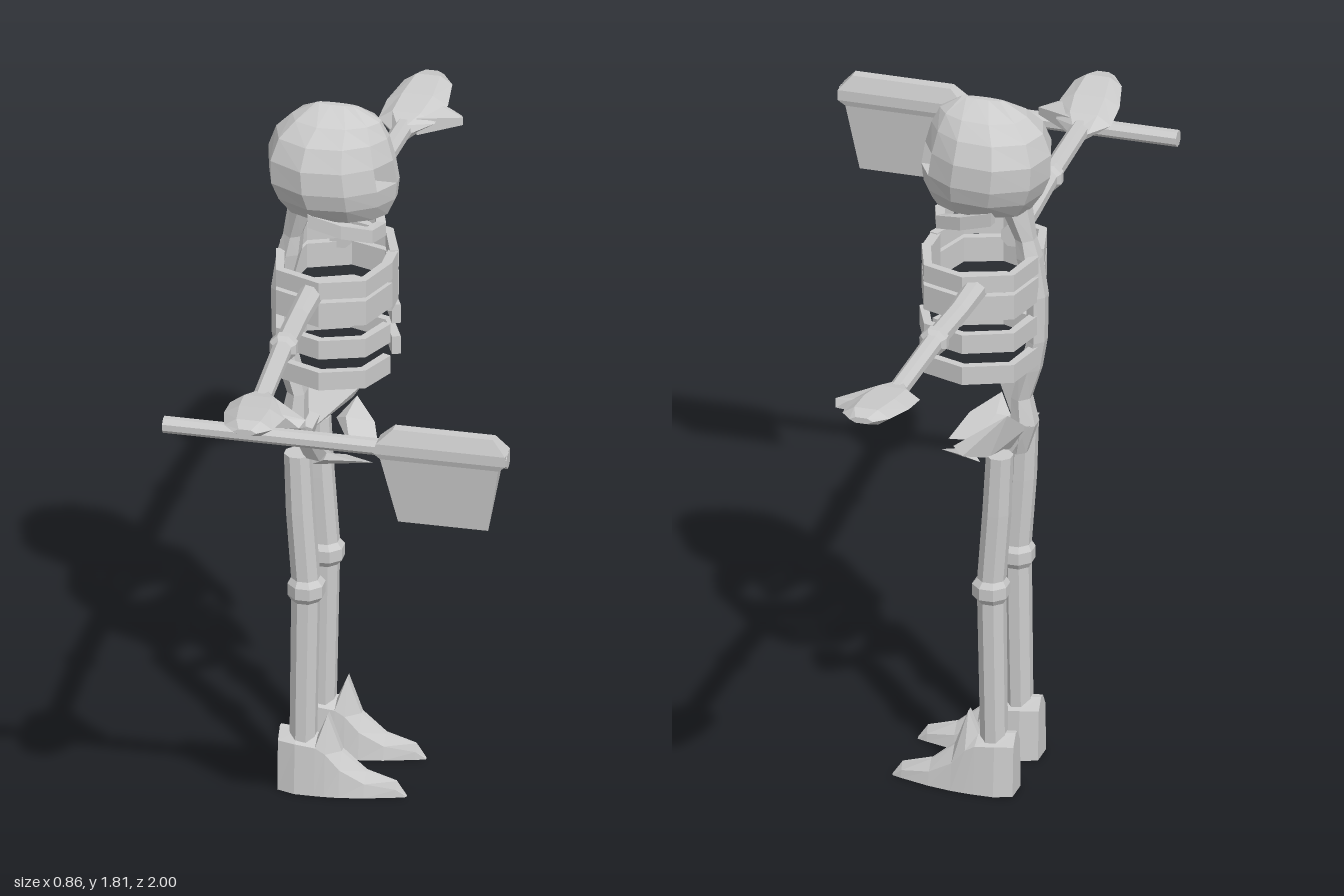
import * as THREE from 'three';
import { ConvexGeometry } from 'three/addons/geometries/ConvexGeometry.js';

const V = (x, y, z) => new THREE.Vector3(x, y, z);
const material = new THREE.MeshStandardMaterial({ color: 0xcccccc, flatShading: true });

// Faceted geometry from a triangle list, turned outward by its signed volume
function facets(tris) {
  const c = tris.reduce((sum, p) => sum.add(p), V(0, 0, 0)).divideScalar(tris.length);
  let volume = 0;
  for (let i = 0; i < tris.length; i += 3) {
    const [a, b, d] = [0, 1, 2].map(k => tris[i + k].clone().sub(c));
    volume += a.dot(b.cross(d));
  }
  const g = new THREE.BufferGeometry().setFromPoints(volume < 0 ? [...tris].reverse() : tris);
  g.computeVertexNormals();
  return g;
}

// Capped skin over rings of equal size; sockets(i, j) marks quads sunk inward by `sink`
function loft(rings, sockets = () => false, sink = null) {
  const tris = [], n = rings[0].length;
  const quad = (a, b, c, d) => tris.push(a, b, c, a, c, d);
  for (let i = 0; i < rings.length - 1; i++) {
    for (let j = 0; j < n; j++) {
      const k = (j + 1) % n;
      const q = [rings[i][j], rings[i][k], rings[i + 1][k], rings[i + 1][j]];
      if (!sockets(i, j)) { quad(...q); continue; }
      const inner = q.map(p => p.clone().add(sink));
      for (let e = 0; e < 4; e++) quad(q[e], q[(e + 1) % 4], inner[(e + 1) % 4], inner[e]);
      quad(...inner);
    }
  }
  const first = rings[0], last = rings[rings.length - 1];
  for (let j = 1; j < n - 1; j++) {
    tris.push(first[0], first[j + 1], first[j], last[0], last[j], last[j + 1]);
  }
  return facets(tris);
}

// Round bone through stations [x, y, z, radius], with rings across the given axis
function bone(stations, axis, sides = 8) {
  return loft(stations.map(([x, y, z, r]) => Array.from({ length: sides }, (_, i) => {
    const a = (i + 0.5) / sides * Math.PI * 2, u = Math.cos(a) * r, v = Math.sin(a) * r;
    return axis === 'y' ? V(x + u, y, z + v) : axis === 'z' ? V(x + u, y + v, z) : V(x, y + u, z + v);
  })));
}

// Flat upright strip following a path in plan
function band(path, height, thick) {
  return loft(path.map((p, i) => {
    const a = path[Math.max(0, i - 1)], b = path[Math.min(path.length - 1, i + 1)];
    const out = V(b[2] - a[2], 0, a[0] - b[0]).normalize().multiplyScalar(thick / 2);
    return [[1, 1], [1, -1], [-1, -1], [-1, 1]].map(([s, t]) =>
      V(p[0] + s * out.x, p[1] + t * height / 2, p[2] + s * out.z));
  }));
}

export function createModel() {
  const model = new THREE.Group();
  const add = (name, geometry, parent = model) => {
    const mesh = new THREE.Mesh(geometry, material);
    mesh.name = name;
    parent.add(mesh);
  };

  // Skull: rings of [y, back x, front x, half width], with sunken eye sockets
  const columns = [[0, 0.11], [0.11, 0.57], [0.33, 0.93], [0.65, 1], [0.92, 0.65]];
  const skullRings = [
    [1.53, -0.32, -0.07, 0.085], [1.575, -0.35, -0.05, 0.12], [1.62, -0.368, -0.045, 0.134],
    [1.68, -0.37, -0.055, 0.132], [1.735, -0.35, -0.07, 0.108], [1.775, -0.31, -0.09, 0.07],
    [1.81, -0.25, -0.145, 0.008],
  ].map(([y, back, front, w]) => {
    const side = s => columns.map(([t, z]) => V(front + (back - front) * t, y, s * z * w));
    return [...side(1), V(back, y, 0), ...side(-1).reverse()];
  });
  add('skull', loft(skullRings, (i, j) => i === 2 && (j === 0 || j === 9), V(-0.06, 0, 0)));

  // Jaw
  const jawSide = s => [[-0.25, 1.535, 0.09 * s], [-0.17, 1.508, 0.08 * s], [-0.105, 1.488, 0.05 * s]];
  add('jaw', band([...jawSide(1), [-0.088, 1.484, 0], ...jawSide(-1).reverse()], 0.035, 0.025));

  // Spine: sections of [y, back x, front x, half width]
  add('spine', loft([
    [0.87, -0.31, -0.27, 0.025], [0.95, -0.335, -0.275, 0.045], [1.02, -0.32, -0.275, 0.035],
    [1.10, -0.345, -0.295, 0.035], [1.18, -0.358, -0.315, 0.037], [1.30, -0.36, -0.315, 0.037],
    [1.40, -0.345, -0.29, 0.04], [1.45, -0.33, -0.285, 0.035], [1.54, -0.315, -0.25, 0.055],
  ].map(([y, b, f, w]) => [V(f, y, w * 0.6), V((b + f) / 2, y, w), V(b, y, w * 0.4),
    V(b, y, -w * 0.4), V((b + f) / 2, y, -w), V(f, y, -w * 0.6)])));

  // Breastbone
  add('breastbone', new THREE.BoxGeometry(0.025, 0.13, 0.07).translate(-0.066, 1.345, 0));

  // Pelvis centre
  add('sacrum', new ConvexGeometry([V(-0.33, 0.96, 0.04), V(-0.33, 0.96, -0.04), V(-0.25, 0.94, 0.04),
    V(-0.25, 0.94, -0.04), V(-0.27, 0.86, 0.03), V(-0.27, 0.86, -0.03)]));

  for (const s of [1, -1]) {
    const half = new THREE.Group();
    half.name = s > 0 ? 'rightSide' : 'leftSide';
    model.add(half);

    // Shoulder band and ribs
    for (const [y, h, end] of [[1.39, 0.045, 0.03], [1.325, 0.065, 0.03], [1.23, 0.05, 0.05], [1.145, 0.048, 0.05]]) {
      add('rib', band([[-0.335, y, 0.02 * s], [-0.31, y, 0.13 * s], [-0.2, y, 0.175 * s],
        [-0.1, y, 0.14 * s], [-0.062, y, end * s]], h, 0.022), half);
    }

    // Hip wing and lower hip bone
    add('hipWing', new ConvexGeometry([[-0.32, 0.95, 0.03], [-0.29, 1.01, 0.1], [-0.18, 0.955, 0.19],
      [-0.2, 0.925, 0.18], [-0.25, 0.9, 0.12], [-0.28, 0.89, 0.03]].map(p => V(p[0], p[1], p[2] * s))), half);
    add('hipFront', new ConvexGeometry([[-0.19, 0.93, 0.18], [-0.23, 0.89, 0.13], [-0.13, 0.9, 0.11],
      [-0.1, 0.86, 0.03], [-0.17, 0.87, 0.02], [-0.2, 0.91, 0.1]].map(p => V(p[0], p[1], p[2] * s))), half);

    // Arm with elbow joint
    add('arm', bone([[-0.225, 1.37, 0.15, 0.03], [-0.225, 1.373, 0.3, 0.027], [-0.22, 1.38, 0.455, 0.027],
      [-0.22, 1.38, 0.465, 0.036], [-0.22, 1.38, 0.485, 0.036], [-0.22, 1.38, 0.495, 0.025],
      [-0.21, 1.372, 0.77, 0.024]].map(([x, y, z, r]) => [x, y, z * s, r]), 'z'), half);

    // Flat mitten hand: sections of [z, x0, x1, y0, y1]
    add('hand', loft([[0.74, -0.235, -0.185, 1.35, 1.39], [0.79, -0.28, -0.14, 1.352, 1.4],
      [0.87, -0.277, -0.125, 1.365, 1.41], [0.96, -0.255, -0.135, 1.38, 1.42],
      [1.0, -0.225, -0.165, 1.398, 1.413]].map(([z, a, b, y0, y1]) => {
      const m = (y0 + y1) / 2, d = (b - a) / 4;
      return [V(a, m, z * s), V(a + d, y1, z * s), V(b - d, y1, z * s),
        V(b, m, z * s), V(b - d, y0, z * s), V(a + d, y0, z * s)];
    })), half);
    add('thumb', new ConvexGeometry([[-0.18, 1.395, 0.77], [-0.18, 1.35, 0.77], [-0.15, 1.395, 0.86],
      [-0.15, 1.355, 0.86], [-0.12, 1.385, 0.865], [-0.08, 1.375, 0.84], [-0.08, 1.355, 0.84],
      [-0.09, 1.365, 0.87]].map(p => V(p[0], p[1], p[2] * s))), half);

    // Leg with knee joint
    const z = 0.105 * s;
    add('leg', bone([[-0.272, 0.905, z, 0.034], [-0.265, 0.75, z, 0.036], [-0.252, 0.57, z, 0.036],
      [-0.25, 0.555, z, 0.047], [-0.25, 0.525, z, 0.047], [-0.252, 0.51, z, 0.036],
      [-0.258, 0.12, z, 0.034]], 'y'), half);

    // Foot: sections of [x, half width, shoulder height, ridge height]
    add('foot', loft([[-0.315, 0.034, 0.13, 0.16], [-0.27, 0.05, 0.13, 0.155], [-0.22, 0.05, 0.125, 0.145],
      [-0.195, 0.049, 0.11, 0.205], [-0.16, 0.046, 0.07, 0.11], [-0.1, 0.035, 0.035, 0.06],
      [-0.025, 0.013, 0.02, 0.04], [0, 0.004, 0.002, 0.004]].map(([x, w, h, t]) => [
      V(x, 0, z + w), V(x, h, z + w * 0.8), V(x, t, z + w * 0.2),
      V(x, t, z - w * 0.2), V(x, h, z - w * 0.8), V(x, 0, z - w)])), half);
  }

  // Axe held across one palm
  const axe = new THREE.Group();
  axe.name = 'axe';
  model.add(axe);
  add('axeHandle', bone([[-0.43, 1.332, 0.858, 0.021], [0.43, 1.332, 0.858, 0.021]], 'x'), axe);
  // Axe head: sections of [y, back x, front x, half thickness] thinning to the edge
  add('axeHead', loft([[1.135, 0.155, 0.38, 0.001], [1.31, 0.115, 0.41, 0.022], [1.325, 0.1, 0.428, 0.027],
    [1.352, 0.105, 0.428, 0.027], [1.39, 0.145, 0.395, 0.014]].map(([y, a, b, w]) => [
    V(a, y, 0.858 - w), V(a, y, 0.858 + w), V(b, y, 0.858 + w), V(b, y, 0.858 - w)])), axe);

  return model;
}
